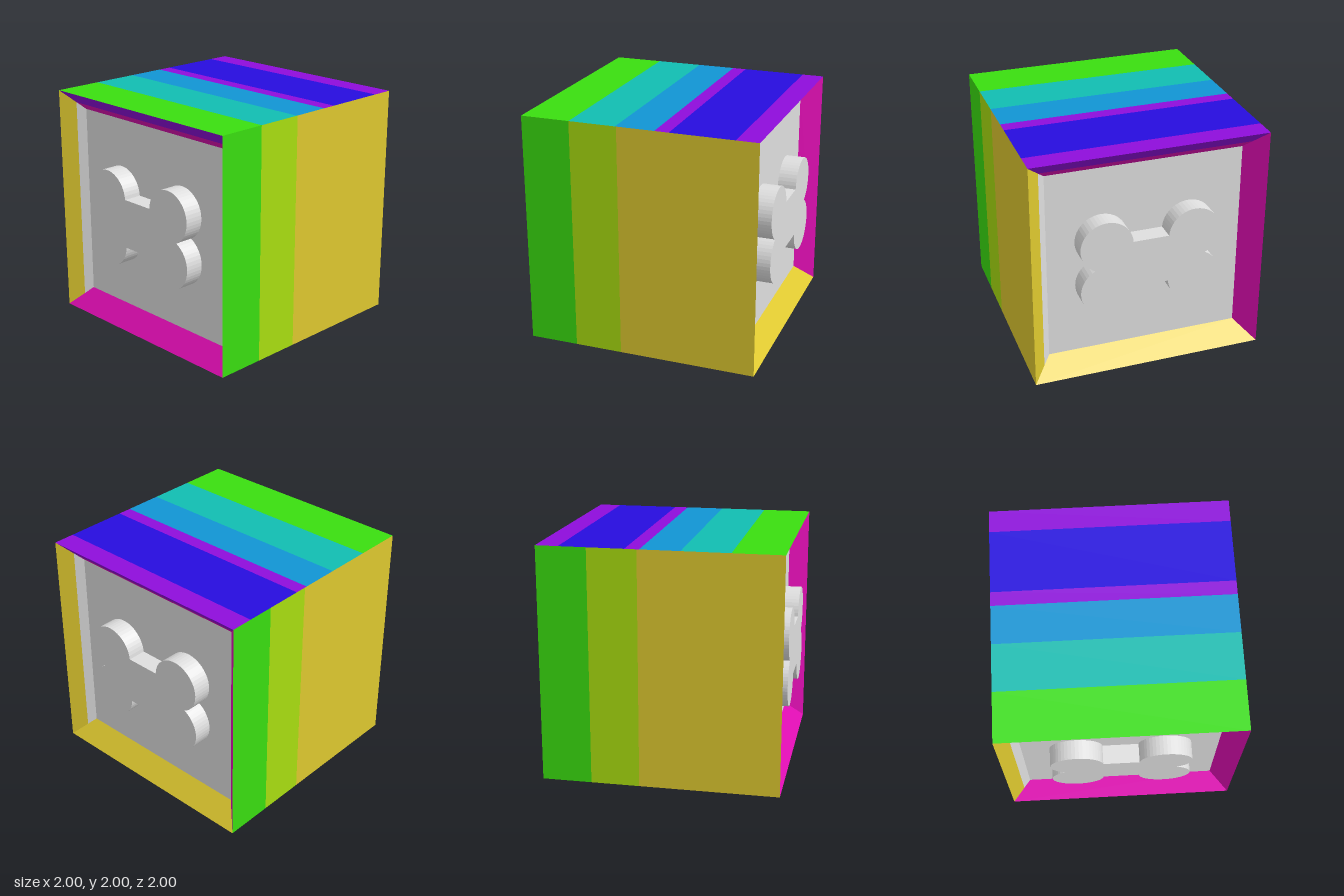
import * as THREE from 'three';

const paint = (name, color) => {
  const m = new THREE.MeshStandardMaterial({ color });
  m.name = name;
  return m;
};

// Flat four-cornered panel, corners anticlockwise as seen from its front
function panel(name, material, a, b, c, d) {
  const g = new THREE.BufferGeometry();
  g.setAttribute('position', new THREE.Float32BufferAttribute([...a, ...b, ...c, ...a, ...c, ...d], 3));
  g.computeVertexNormals();
  const mesh = new THREE.Mesh(g, material);
  mesh.name = name;
  return mesh;
}

// Bone outline: four lobes joined by a bar
function boneShape() {
  const cx = 0.375, cy = 0.2, r = 0.223;
  const notch = Math.asin(cy / r), bar = 0.058, PI = Math.PI;
  const s = new THREE.Shape();
  s.absarc(cx, cy, r, -notch, PI - bar);
  s.absarc(-cx, cy, r, bar, PI + notch);
  s.absarc(-cx, -cy, r, PI - notch, 2 * PI - bar);
  s.absarc(cx, -cy, r, PI + bar, 2 * PI + notch);
  s.closePath();
  return s;
}

export function createModel() {
  const green = paint('green', 0x3ade10);
  const lime = paint('lime', 0xa9de10);
  const yellow = paint('yellow', 0xdec82f);
  const teal = paint('teal', 0x11bdb2);
  const blue = paint('blue', 0x1195d4);
  const deepBlue = paint('deepBlue', 0x270cde);
  const purple = paint('purple', 0x8e0ddb);
  const magenta = paint('magenta', 0xde0db2);
  const white = paint('white', 0xdedede);

  const model = new THREE.Group();
  model.name = 'boneCube';
  const cube = new THREE.Group(); // centred on the origin, then lifted
  cube.position.y = 1;
  model.add(cube);

  // Striped top and bottom: [x start, x end, colour]
  const shared = [[-1, -0.58, green], [-0.58, -0.18, teal], [-0.18, 0.15, blue], [0.15, 0.27, purple]];
  for (const [x0, x1, m] of [...shared, [0.27, 0.81, deepBlue], [0.81, 1, purple]])
    cube.add(panel('topStripe', m, [x0, 1, 1], [x1, 1, 1], [x1, 1, -1], [x0, 1, -1]));
  for (const [x0, x1, m] of [...shared, [0.27, 1, deepBlue]])
    cube.add(panel('bottomStripe', m, [x0, -1, -1], [x1, -1, -1], [x1, -1, 1], [x0, -1, 1]));

  // Front and +x side make one half; the other half is turned half way round
  const inner = 0.836, depth = 0.16, floorX = 1 - depth;
  const bone = new THREE.ExtrudeGeometry(boneShape(), { depth, bevelEnabled: false, curveSegments: 15 });
  bone.rotateY(Math.PI / 2);

  for (let i = 0; i < 2; i++) {
    const half = new THREE.Group();
    half.name = i ? 'backAndRightHalf' : 'frontAndLeftHalf';
    half.rotation.y = i * Math.PI;
    cube.add(half);

    for (const [x0, x1, m] of [[-1, -0.58, green], [-0.58, -0.17, lime], [-0.17, 1, yellow]])
      half.add(panel('wallStripe', m, [x0, -1, 1], [x1, -1, 1], [x1, 1, 1], [x0, 1, 1]));

    // Sloping rim: four strips, each turned about x, split at a fraction of its width
    const rim = [
      ['rimTop', 0, 0.64, purple, magenta],
      ['rimFront', 1, 0.64, yellow, white],
      ['rimBottom', 2, 0, null, i ? magenta : yellow],
      ['rimBack', 3, 0, null, magenta],
    ];
    for (const [name, turn, split, outerPaint, innerPaint] of rim) {
      const strip = (t0, t1, m) => {
        const c0 = 1 - t0 * (1 - inner), c1 = 1 - t1 * (1 - inner);
        const p0 = 1 - t0 * depth, p1 = 1 - t1 * depth;
        const mesh = panel(name, m, [p1, c1, c1], [p1, c1, -c1], [p0, c0, -c0], [p0, c0, c0]);
        mesh.rotation.x = turn * Math.PI / 2;
        half.add(mesh);
      };
      if (split) strip(0, split, outerPaint);
      strip(split, 1, innerPaint);
    }

    // Recessed plate with the raised bone
    half.add(panel('recessPlate', white, [floorX, -inner, inner], [floorX, -inner, -inner],
      [floorX, inner, -inner], [floorX, inner, inner]));
    const mesh = new THREE.Mesh(bone, white);
    mesh.name = 'bone';
    mesh.position.x = floorX;
    half.add(mesh);
  }
  return model;
}
